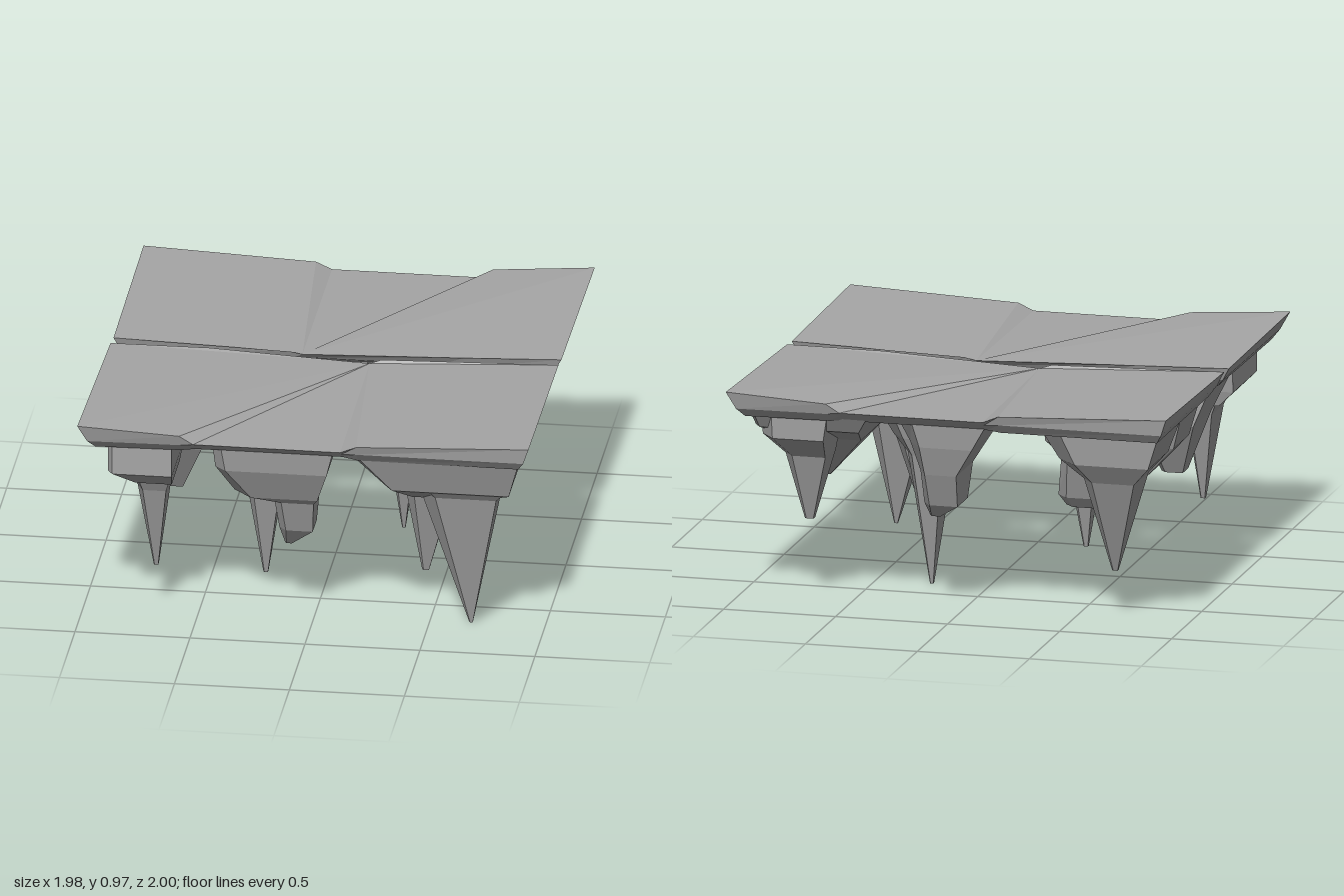
import * as THREE from 'three';

const material = new THREE.MeshStandardMaterial({ color: 0xa6a6a6, flatShading: true });

// Faceted solid through matching rings, listed top to bottom; each ring runs
// clockwise as seen from above. Both ends are capped with a fan from the first point.
function loft(name, rings) {
  const pos = [];
  const tri = (a, b, c) => pos.push(...a, ...b, ...c);
  const n = rings[0].length;
  const first = rings[0], last = rings[rings.length - 1];
  for (let i = 1; i + 1 < n; i++) {
    tri(first[0], first[i + 1], first[i]);
    tri(last[0], last[i], last[i + 1]);
  }
  for (let k = 0; k + 1 < rings.length; k++) {
    const a = rings[k], b = rings[k + 1];
    for (let i = 0; i < n; i++) {
      const j = (i + 1) % n;
      tri(a[i], a[j], b[j]);
      tri(a[i], b[j], b[i]);
    }
  }
  const geometry = new THREE.BufferGeometry();
  geometry.setAttribute('position', new THREE.Float32BufferAttribute(pos, 3));
  geometry.computeVertexNormals();
  const mesh = new THREE.Mesh(geometry, material);
  mesh.name = name;
  return mesh;
}

// Rock piece: each section is [y, x0, x1, z0, z1, cut], a rectangle with two
// opposite corners cut off by a share of its sides.
function rock(name, sections) {
  return loft(name, sections.map(([y, x0, x1, z0, z1, cut = 0.22]) => {
    const cx = (x1 - x0) * cut, cz = (z1 - z0) * cut;
    return [
      [x0, y, z0], [x1 - cx, y, z0], [x1, y, z0 + cz],
      [x1, y, z1], [x0 + cx, y, z1], [x0, y, z1 - cz],
    ];
  }));
}

// Slab: top folded from the chip in the gap edge, chipped outer edge, slanted rim
function slab(name) {
  return loft(name, [
    [[0.15, 0.91, 0.03], [0.2, 0.925, 0.018], [0.97, 0.945, 0.018], [0.97, 0.962, 0.985],
      [0.22, 0.93, 0.985], [0.15, 0.9, 0.982], [-0.49, 0.9, 0.98], [-0.55, 0.938, 0.985],
      [-0.99, 0.966, 1], [-0.975, 0.945, 0.04], [-0.55, 0.938, 0.018], [-0.45, 0.93, 0.028]],
    [[0.15, 0.885, 0.055], [0.2, 0.885, 0.035], [0.945, 0.89, 0.035], [0.945, 0.89, 0.975],
      [0.22, 0.89, 0.972], [0.15, 0.882, 0.96], [-0.49, 0.882, 0.955], [-0.55, 0.89, 0.97],
      [-0.95, 0.89, 0.98], [-0.945, 0.89, 0.055], [-0.56, 0.885, 0.04], [-0.45, 0.885, 0.055]],
    [[0.13, 0.85, 0.12], [0.2, 0.85, 0.09], [0.92, 0.85, 0.09], [0.92, 0.85, 0.945],
      [0.22, 0.85, 0.94], [0.15, 0.85, 0.91], [-0.49, 0.85, 0.91], [-0.55, 0.85, 0.93],
      [-0.92, 0.85, 0.94], [-0.91, 0.85, 0.1], [-0.56, 0.85, 0.09], [-0.45, 0.85, 0.12]],
  ]);
}

// Hanging rocks below each slab
const FRONT = {
  leftMass: [[0.87, 0.17, 0.92, 0.09, 0.945, 0.06], [0.69, 0.33, 0.87, 0.08, 0.88, 0.06],
    [0.61, 0.4, 0.72, 0.25, 0.75, 0.1]],
  frontLeftSpike: [[0.72, 0.4, 0.87, 0.44, 0.89], [0.65, 0.47, 0.81, 0.48, 0.84],
    [0, 0.67, 0.685, 0.655, 0.67]],
  innerLeftSpike: [[0.72, 0.32, 0.78, 0.09, 0.53], [0.63, 0.335, 0.6, 0.13, 0.5],
    [0.09, 0.42, 0.45, 0.31, 0.34]],
  frontMiddleRock: [[0.87, -0.42, 0.11, 0.4, 0.92, 0.08], [0.75, -0.41, 0.08, 0.42, 0.9, 0.1],
    [0.6, -0.34, 0.03, 0.46, 0.83], [0.57, -0.17, 0.01, 0.52, 0.8],
    [0.42, -0.15, 0, 0.58, 0.75], [0.33, -0.13, -0.1, 0.64, 0.68]],
  innerMiddleSpike: [[0.87, -0.42, 0.1, 0.1, 0.55], [0.7, -0.38, 0, 0.11, 0.5],
    [0.58, -0.35, -0.17, 0.18, 0.47], [0.04, -0.27, -0.25, 0.32, 0.34]],
  frontRightBlock: [[0.87, -0.87, -0.59, 0.48, 0.93, 0.08], [0.72, -0.87, -0.59, 0.5, 0.93, 0.08],
    [0.65, -0.8, -0.6, 0.52, 0.85]],
  frontRightSpike: [[0.7, -0.8, -0.6, 0.52, 0.86], [0.6, -0.76, -0.63, 0.55, 0.81],
    [0.2, -0.7, -0.68, 0.66, 0.69]],
  innerRightRock: [[0.87, -0.89, -0.48, 0.1, 0.55, 0.1], [0.66, -0.8, -0.52, 0.1, 0.48],
    [0.42, -0.72, -0.62, 0.22, 0.34]],
};

const BACK = {
  innerMiddleSpike: [[0.87, 0.04, 0.5, -0.55, -0.1], [0.68, 0.1, 0.4, -0.5, -0.1],
    [0.6, 0.17, 0.34, -0.47, -0.14], [0, 0.245, 0.26, -0.33, -0.31]],
  leftMass: [[0.87, 0.38, 0.92, -0.93, -0.1, 0.06], [0.79, 0.43, 0.9, -0.88, -0.11, 0.06],
    [0.68, 0.5, 0.87, -0.58, -0.13, 0.12], [0.47, 0.69, 0.75, -0.38, -0.34]],
  backLeftSpike: [[0.87, 0.56, 0.88, -0.92, -0.52], [0.75, 0.58, 0.87, -0.91, -0.55],
    [0.65, 0.6, 0.79, -0.8, -0.57], [0.35, 0.68, 0.72, -0.7, -0.66]],
  backMiddleRock: [[0.87, -0.15, 0.28, -0.92, -0.45], [0.75, -0.08, 0.22, -0.9, -0.45],
    [0.62, 0, 0.18, -0.86, -0.5], [0.47, 0.01, 0.17, -0.8, -0.58], [0.41, 0.1, 0.15, -0.75, -0.65]],
  innerRightBlock: [[0.87, -0.55, -0.38, -0.55, -0.1], [0.62, -0.57, -0.35, -0.5, -0.12],
    [0.45, -0.55, -0.33, -0.44, -0.2], [0.4, -0.53, -0.36, -0.4, -0.23]],
  backRightSpike: [[0.87, -0.92, -0.35, -0.93, -0.42], [0.72, -0.87, -0.45, -0.91, -0.48],
    [0.63, -0.79, -0.55, -0.85, -0.53], [0.2, -0.67, -0.645, -0.67, -0.65]],
  innerRightRock: [[0.87, -0.91, -0.5, -0.5, -0.1], [0.7, -0.86, -0.52, -0.45, -0.12],
    [0.55, -0.72, -0.58, -0.36, -0.2]],
};

export function createModel() {
  const model = new THREE.Group();
  model.name = 'floatingRockPlatform';
  for (const [side, rocks] of [['front', FRONT], ['back', BACK]]) {
    const half = new THREE.Group();
    half.name = side + 'Half';
    const plate = slab(side + 'Slab');
    if (side === 'back') plate.rotation.y = Math.PI;
    half.add(plate);
    for (const [name, sections] of Object.entries(rocks)) half.add(rock(name, sections));
    model.add(half);
  }
  return model;
}
